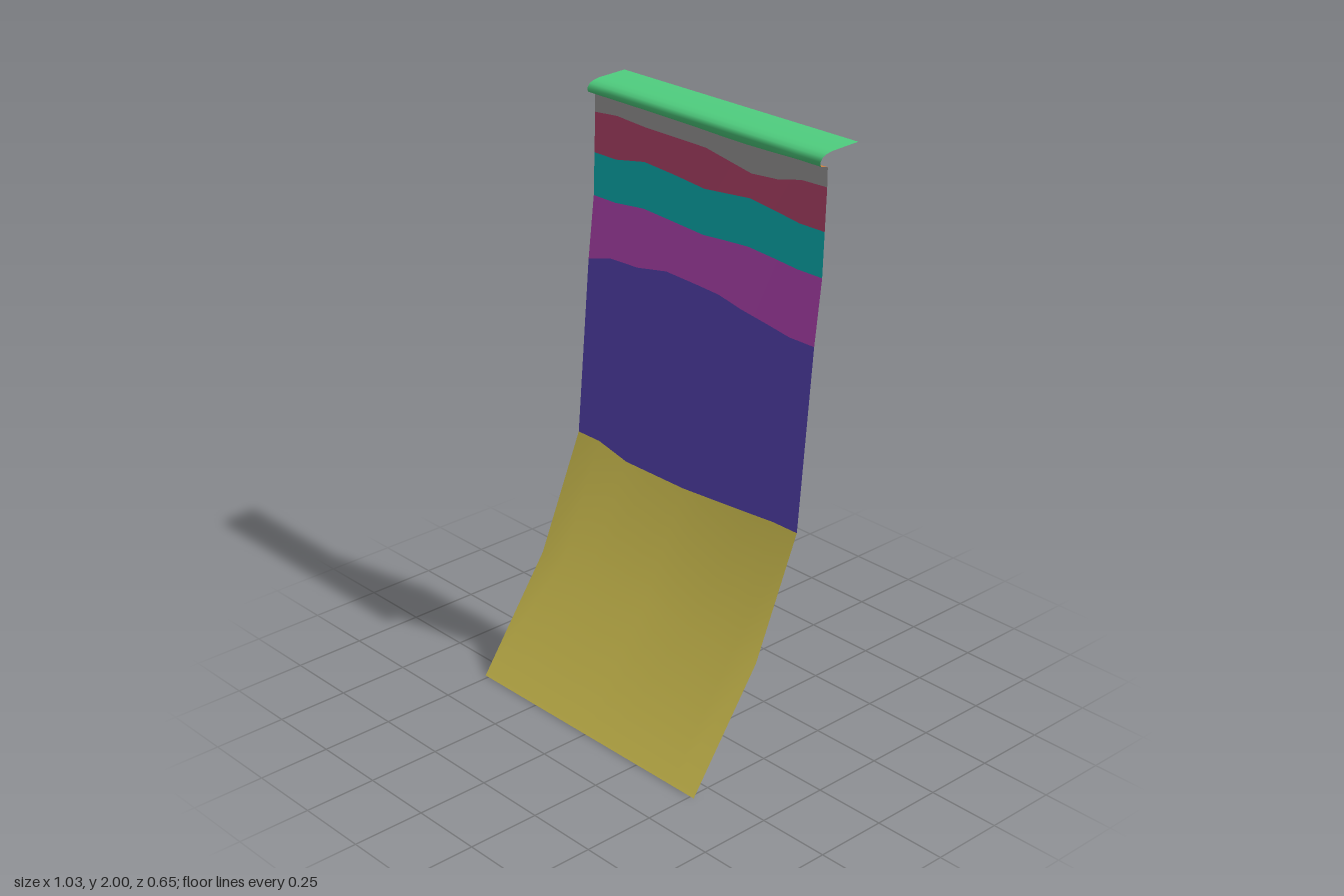
import * as THREE from 'three';

// Shared column positions across the cliff face
const X = [-0.515, -0.41, -0.275, -0.14, 0, 0.1, 0.2, 0.31, 0.41, 0.515];
const level = (y, z) => ({ y: X.map(() => y), z });

// Strata boundaries from bottom to top: wavy heights at a constant depth
const foot = level(0, 0.325);
const bend = level(0.38, 0.06);
const slopeTop = { z: -0.11, y: [0.78, 0.78, 0.75, 0.75, 0.75, 0.757, 0.764, 0.772, 0.78, 0.78] };
const wallTop = { z: -0.164, y: [1.39, 1.42, 1.425, 1.45, 1.445, 1.44, 1.42, 1.405, 1.39, 1.39] };
const band1Top = { z: -0.19, y: [1.605, 1.605, 1.62, 1.613, 1.605, 1.613, 1.62, 1.613, 1.605, 1.605] };
const band2Top = { z: -0.195, y: [1.75, 1.75, 1.775, 1.767, 1.755, 1.765, 1.775, 1.763, 1.75, 1.75] };
const band3Top = { z: -0.2, y: [1.885, 1.895, 1.888, 1.888, 1.887, 1.87, 1.853, 1.862, 1.885, 1.888] };
const faceTop = { z: -0.2, y: [1.95, 1.95, 1.95, 1.949, 1.948, 1.946, 1.945, 1.947, 1.95, 1.95] };
const lipEdge = { z: -0.17, y: faceTop.y.map((y) => y + 0.008) };

// Skin a strip of surface through a list of boundaries, bottom to top
function strip(name, color, rows) {
  const pos = [], index = [], n = X.length;
  rows.forEach((row) => X.forEach((x, i) => pos.push(x, row.y[i], row.z)));
  for (let r = 0; r < rows.length - 1; r++) {
    for (let i = 0; i < n - 1; i++) {
      const a = r * n + i, b = a + 1, c = a + n, d = c + 1;
      index.push(a, b, d, a, d, c);
    }
  }
  const geometry = new THREE.BufferGeometry();
  geometry.setAttribute('position', new THREE.Float32BufferAttribute(pos, 3));
  geometry.setIndex(index);
  geometry.computeVertexNormals();
  const mesh = new THREE.Mesh(geometry, new THREE.MeshStandardMaterial({ color, side: THREE.DoubleSide }));
  mesh.name = name;
  return mesh;
}

export function createModel() {
  const group = new THREE.Group();
  group.name = 'layeredCliff';
  group.add(
    strip('lowerSlope', 0xdccb55, [foot, bend, slopeTop]),
    strip('mainWall', 0x6450d0, [slopeTop, wallTop]),
    strip('lowerBand', 0xd050d0, [wallTop, band1Top]),
    strip('middleBand', 0x0dced0, [band1Top, band2Top]),
    strip('upperBand', 0xd0507d, [band2Top, band3Top]),
    strip('topBand', 0xb2b0b0, [band3Top, faceTop]),
    strip('overhangUnderside', 0xd08040, [faceTop, lipEdge]),
    // Rounded lip running back into the flat top
    strip('grassyTop', 0x50d080, [
      lipEdge, level(1.972, -0.168), level(1.985, -0.178), level(1.992, -0.195),
      level(1.996, -0.22), level(2, -0.328),
    ]),
  );
  return group;
}
